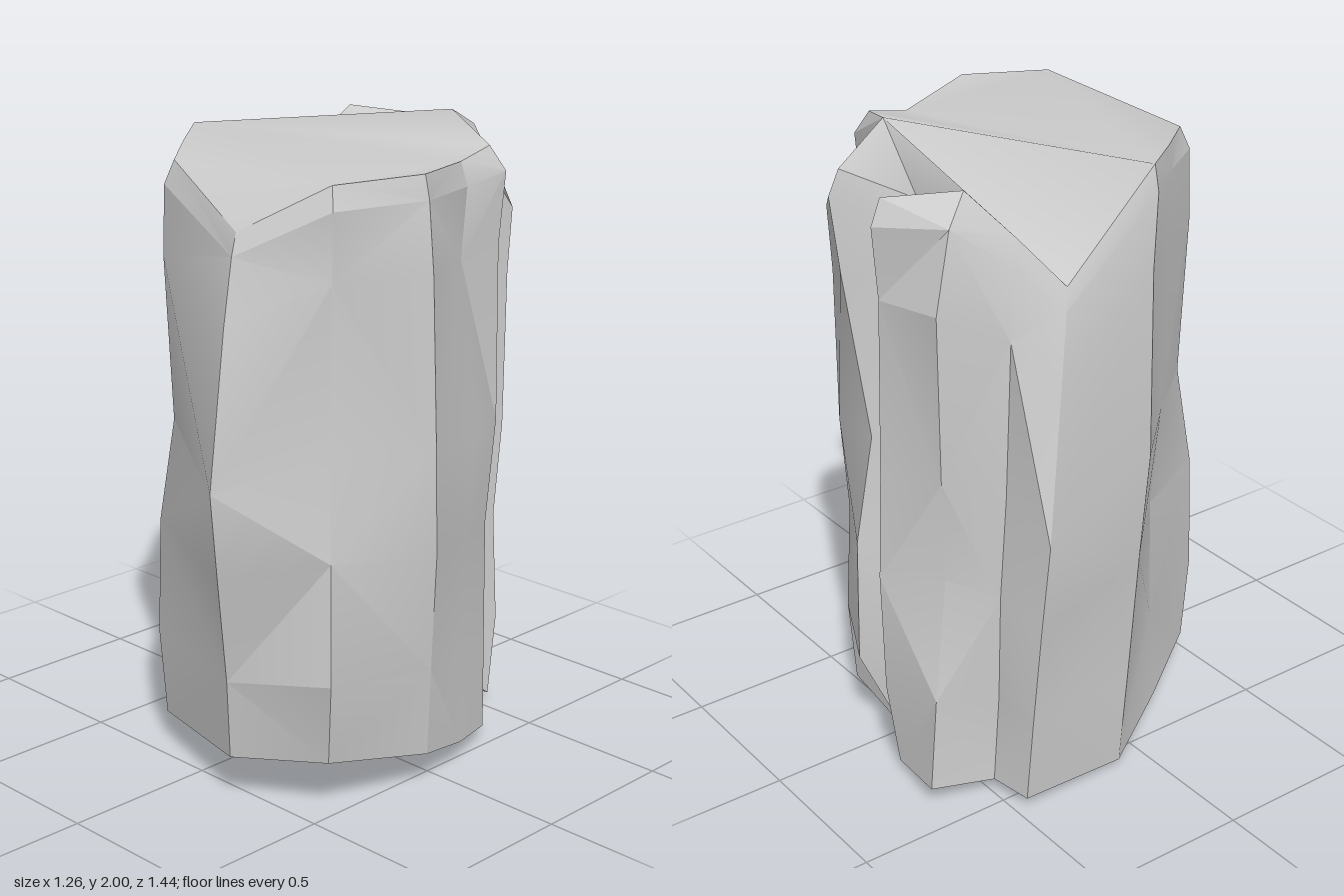
import * as THREE from 'three';
import { toCreasedNormals } from 'three/addons/utils/BufferGeometryUtils.js';

// Vertical ridges and grooves, counter-clockwise from the front: foot point of each (x, y, z)
const FOOT = [
  [0.22, 0.15, 0.58], [0.49, 0.17, 0.43], [0.57, 0.11, 0.08], [0.53, 0.07, -0.12],
  [0.46, 0.04, -0.31], [0.20, 0.14, -0.41], [0.30, 0.04, -0.52], [0.02, 0.00, -0.53],
  [-0.05, 0.03, -0.48], [-0.17, 0.03, -0.66], [-0.39, 0.06, -0.69], [-0.44, 0.04, -0.49],
  [-0.57, 0.03, -0.46], [-0.57, 0.02, -0.10], [-0.40, 0.06, 0.18], [-0.23, 0.11, 0.44],
];
// Rim point of each ridge
const RIM = [
  [0.26, 1.77, 0.57], [0.48, 1.91, 0.41], [0.58, 1.92, 0.14], [0.44, 1.90, -0.17],
  [0.43, 1.93, -0.31], [0.18, 2.00, -0.42], [0.33, 1.77, -0.50], [0.08, 1.92, -0.64],
  [0.01, 1.80, -0.42], [-0.18, 1.92, -0.67], [-0.34, 1.95, -0.50], [-0.43, 1.81, -0.385],
  [-0.52, 1.67, -0.28], [-0.47, 1.94, 0.07], [-0.33, 1.92, 0.24], [-0.18, 1.90, 0.41],
];
// Heights of the rings between foot and rim, and how far each ridge bulges there
const LEVELS = [0.16, 0.37, 0.55, 0.84, 0.96];
const BULGE = [
  [0.03, 0.10, 0.16, 0.08, 0.03], [0.08, 0.04, -0.02, 0.01, 0.03],
  [0.02, 0.05, 0.05, 0.04, 0.02], [0.00, 0.02, 0.05, 0.00, 0.02],
  [0.00, 0.00, 0.03, 0.03, 0.05], [0.00, 0.00, 0.00, 0.00, 0.01],
  [0.02, 0.00, 0.02, 0.02, 0.03], [0.12, 0.08, -0.01, 0.03, 0.04],
  [0.04, 0.05, 0.03, 0.04, 0.06], [0.05, 0.06, 0.04, 0.02, 0.04],
  [0.00, -0.02, 0.05, 0.16, 0.10], [-0.02, 0.03, 0.00, 0.06, 0.03],
  [0.03, 0.07, 0.11, 0.04, 0.02], [0.02, 0.04, 0.06, 0.02, 0.02],
  [-0.02, -0.03, 0.00, 0.01, 0.01], [0.03, 0.03, -0.01, 0.03, 0.03],
];
const N = FOOT.length;

function ring(level) {
  return FOOT.map((foot, i) => {
    const p = new THREE.Vector3(...foot).lerp(new THREE.Vector3(...RIM[i]), LEVELS[level]);
    const out = new THREE.Vector3(p.x, 0, p.z).normalize();
    return p.addScaledVector(out, BULGE[i][level]);
  });
}

// Edges sharper than the crease angle stay hard, the rest are softened
function rockMesh(name, triangles, crease, material) {
  const geometry = new THREE.BufferGeometry().setFromPoints(triangles);
  const mesh = new THREE.Mesh(toCreasedNormals(geometry, crease), material);
  mesh.name = name;
  return mesh;
}

// Cap made of two facets that meet along a crease between two ridges
function cap(points, up) {
  const triangles = [];
  const front = [13, 14, 15, 0, 1, 2, 3, 4, 5];
  const back = [5, 6, 7, 8, 9, 10, 11, 12, 13];
  for (const ids of [front, back]) {
    const contour = ids.map((i) => new THREE.Vector2(points[i].x, -points[i].z));
    for (const face of THREE.ShapeUtils.triangulateShape(contour, [])) {
      const corners = face.map((k) => points[ids[k]]);
      triangles.push(...(up ? corners : corners.reverse()));
    }
  }
  return triangles;
}

export function createModel() {
  const group = new THREE.Group();
  group.name = 'rockColumn';
  const material = new THREE.MeshStandardMaterial({ color: 0xcccccc });

  const foot = FOOT.map((p) => new THREE.Vector3(...p));
  const rim = RIM.map((p) => new THREE.Vector3(...p));
  const rings = [foot, ...LEVELS.map((_, k) => ring(k)), rim];

  // Faceted side wall, with diagonals alternating for a chipped look
  const wall = [];
  for (let k = 0; k < rings.length - 1; k++) {
    for (let i = 0; i < N; i++) {
      const j = (i + 1) % N;
      const a = rings[k][i], b = rings[k][j], c = rings[k + 1][j], d = rings[k + 1][i];
      if ((i + k) % 2) wall.push(a, b, c, a, c, d);
      else wall.push(a, b, d, b, c, d);
    }
  }

  group.add(rockMesh('rockWall', wall, 0.35, material));
  group.add(rockMesh('rockTop', cap(rim, true), 1.2, material));
  group.add(rockMesh('rockBase', cap(foot, false), 0.35, material));
  return group;
}
